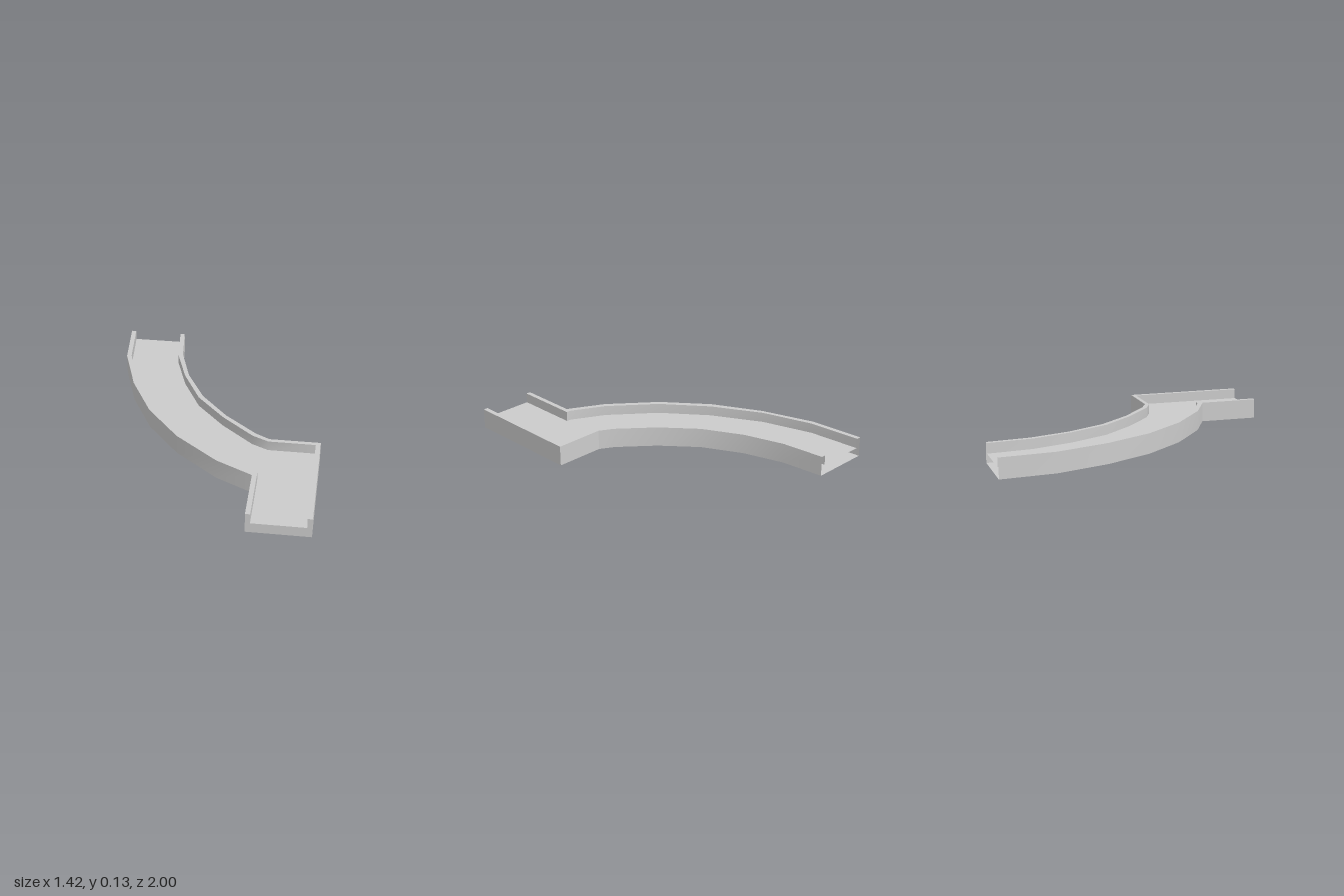
import * as THREE from 'three';
import { toCreasedNormals } from 'three/addons/utils/BufferGeometryUtils.js';

const TOP = 0.13, FLOOR = 0.065;

// Stations along the track, as [x, z] pairs:
// left wall outer, left wall inner, right wall inner, right wall outer
const STATIONS = [
  [-0.71, -1.00, -0.68, -1.00, -0.36, -1.00, -0.33, -1.00],
  [-0.68, -0.65, -0.65, -0.66, -0.33, -0.71, -0.30, -0.72],
  [-0.57, -0.31, -0.55, -0.33, -0.245, -0.45, -0.22, -0.46],
  [-0.41, 0.00, -0.38, -0.02, -0.115, -0.19, -0.09, -0.21],
  [-0.19, 0.27, -0.165, 0.25, 0.07, 0.02, 0.09, 0.00],
  [0.09, 0.50, 0.11, 0.475, 0.28, 0.205, 0.30, 0.18],
  [0.32, 0.62, 0.32, 0.583, 0.385, 0.257, 0.39, 0.23],
  [0.32, 0.62, 0.35, 0.583, 0.68, 0.257, 0.71, 0.23],
  [0.32, 1.00, 0.35, 1.00, 0.68, 1.00, 0.71, 1.00],
];

// Closed channel-shaped section at one station
function section([ax, az, bx, bz, cx, cz, dx, dz]) {
  return [
    [ax, 0, az], [ax, TOP, az], [bx, TOP, bz], [bx, FLOOR, bz],
    [cx, FLOOR, cz], [cx, TOP, cz], [dx, TOP, dz], [dx, 0, dz],
  ].map((p) => new THREE.Vector3(...p));
}

// Join the sections, leaving out triangles that collapse at the corner
function channelGeometry(sections) {
  const pos = [];
  const tri = (a, b, c) => {
    if (new THREE.Triangle(a, b, c).getArea() < 1e-7) return;
    for (const p of [a, b, c]) pos.push(p.x, p.y, p.z);
  };
  for (let i = 0; i < sections.length - 1; i++) {
    const s = sections[i], t = sections[i + 1];
    for (let k = 0; k < s.length; k++) {
      const n = (k + 1) % s.length;
      tri(s[k], t[k], t[n]);
      tri(s[k], t[n], s[n]);
    }
  }
  const geo = new THREE.BufferGeometry();
  geo.setAttribute('position', new THREE.Float32BufferAttribute(pos, 3));
  return toCreasedNormals(geo, 0.5);
}

export function createModel() {
  const group = new THREE.Group();
  group.name = 'curvedTrack';
  const material = new THREE.MeshStandardMaterial({ color: 0xcccccc, side: THREE.DoubleSide });
  const sections = STATIONS.map(section);

  // Floor and side walls, open at the back end
  const channel = new THREE.Mesh(channelGeometry(sections), material);
  channel.name = 'channel';
  group.add(channel);

  // Channel-shaped face closing the front end
  const outline = sections[sections.length - 1].map((p) => new THREE.Vector2(p.x, p.y));
  const cap = new THREE.Mesh(new THREE.ShapeGeometry(new THREE.Shape(outline)), material);
  cap.name = 'frontEnd';
  cap.position.z = 1;
  group.add(cap);

  return group;
}
